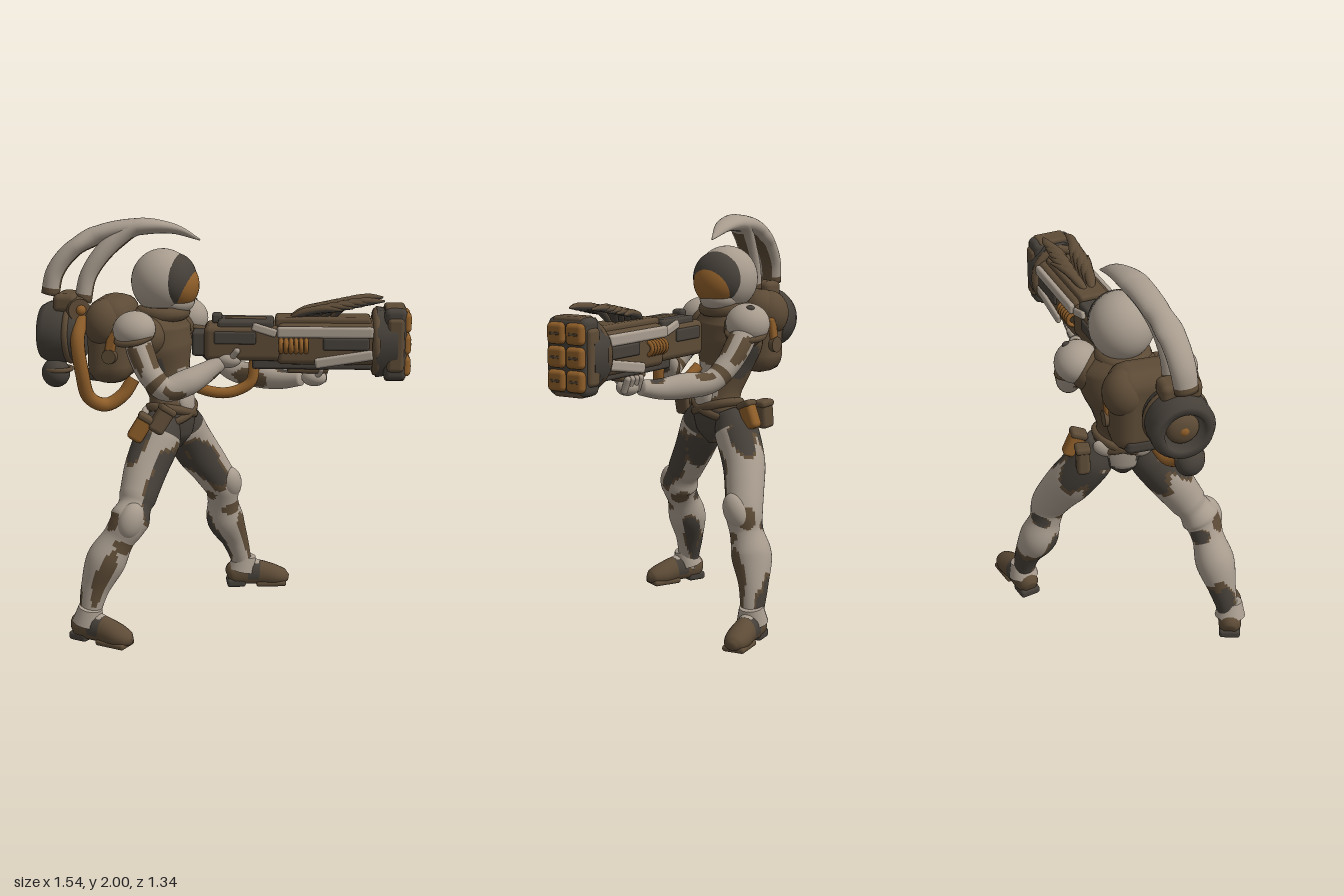
import * as THREE from 'three';
import { RoundedBoxGeometry } from 'three/addons/geometries/RoundedBoxGeometry.js';

const V = (x, y, z) => new THREE.Vector3(x, y, z);
const WHITE = 0, BROWN = 1, DARK = 2, ORANGE = 3;

export function createModel() {
  const mats = [['boneWhite', 0xa89c8e], ['earthBrown', 0x5d4b36], ['charcoal', 0x464039], ['rustOrange', 0x8f5e29]]
    .map(([name, color]) => Object.assign(new THREE.MeshStandardMaterial({ color }), { name }));
  const model = new THREE.Group();
  model.name = 'armouredGunner';

  const add = (parent, name, geo, mat, pos = [0, 0, 0], rot = [0, 0, 0], scale = [1, 1, 1]) => {
    const m = new THREE.Mesh(geo, typeof mat === 'number' ? mats[mat] : mat);
    m.name = name;
    m.position.set(...pos); m.rotation.set(...rot); m.scale.set(...scale);
    parent.add(m);
    return m;
  };
  const group = (name, pos, rot = [0, 0, 0], parent = model) => {
    const g = new THREE.Group();
    g.name = name; g.position.set(...pos); g.rotation.set(...rot);
    parent.add(g);
    return g;
  };
  const ball = new THREE.SphereGeometry(1, 32, 24);
  const blob = (parent, name, mat, pos, s, rot) => add(parent, name, ball, mat, pos, rot, s);
  const box = (parent, name, mat, pos, s, rot, r = 0.015) =>
    add(parent, name, new RoundedBoxGeometry(...s, 2, Math.min(r, Math.min(...s) * 0.45)), mat, pos, rot);

  // Sweep of elliptical sections [x, y, z, halfSide, halfFront]; pick(t, angle) chooses the colour
  function sweep(parent, name, pts, pick, front = [0, 0, 1], segs = 70, sides = 40, floor = -9) {
    const path = new THREE.CatmullRomCurve3(pts.map(p => V(p[0], p[1], p[2])));
    const size = new THREE.CatmullRomCurve3(pts.map(p => V(p[3], p[4], 0)));
    const F = V(...front), pos = [], bins = [[], [], [], []];
    for (let i = 0; i <= segs; i++) {
      const t = i / segs, c = path.getPoint(t), T = path.getTangent(t), s = size.getPoint(t);
      const N = F.clone().addScaledVector(T, -F.dot(T)).normalize(), S = T.clone().cross(N);
      for (let j = 0; j < sides; j++) {
        const a = j / sides * Math.PI * 2;
        const p = c.clone().addScaledVector(N, Math.cos(a) * s.y).addScaledVector(S, Math.sin(a) * s.x);
        pos.push(p.x, Math.max(p.y, floor), p.z);
      }
    }
    for (const p of [pts[0], pts.at(-1)]) pos.push(p[0], p[1], p[2]);
    const start = (segs + 1) * sides;
    for (let j = 0; j < sides; j++) {
      const k = (j + 1) % sides, e = segs * sides;
      for (let i = 0; i < segs; i++) {
        const a = i * sides + j, b = i * sides + k;
        bins[pick((i + 0.5) / segs, (j + 0.5) / sides)].push(a, b, a + sides, b, b + sides, a + sides);
      }
      bins[pick(0, 0)].push(start, k, j);
      bins[pick(1, 0)].push(start + 1, e + j, e + k);
    }
    const geo = new THREE.BufferGeometry();
    geo.setAttribute('position', new THREE.Float32BufferAttribute(pos, 3));
    geo.setIndex(bins.flat());
    let n = 0;
    bins.forEach((b, i) => { if (b.length) geo.addGroup(n, b.length, i); n += b.length; });
    geo.computeVertexNormals();
    return add(parent, name, geo, mats);
  }
  // Worn oval stains [t, angle, halfT, halfAngle, colour] with a brown edge, on a white ground
  const stained = spots => (t, a) => {
    let rim = WHITE;
    for (const [t0, a0, dt, da, mat] of spots) {
      const d = Math.abs(((a - a0 + 1.5) % 1) - 0.5);
      const v = ((t - t0) / dt) ** 2 + (d / da) ** 2 - 0.22 * Math.sin(a * 25 + t * 40);
      if (v < 1) return mat;
      if (v < 1.3) rim = BROWN;
    }
    return rim;
  };
  const tube = (parent, name, pts, r, mat) =>
    add(parent, name, new THREE.TubeGeometry(new THREE.CatmullRomCurve3(pts.map(p => V(...p))), 40, r, 12), mat);

  // Legs: outer is the angle of the outward side; m mirrors an angle given for the left leg
  const legPick = outer => {
    const m = a => outer > 0.5 ? a : 1 - a;
    const pick = stained([[0.27, m(0.06), 0.14, 0.11, DARK], [0.15, m(0.75), 0.08, 0.09, DARK], [0.12, 0.5, 0.09, 0.14, DARK],
      [0.16, m(0.25), 0.08, 0.12, DARK], [0.88, 0.5, 0.13, 0.22, DARK], [0.74, m(0.93), 0.12, 0.06, BROWN], [0.73, m(0.27), 0.11, 0.08, DARK],
      [0.48, m(0.75), 0.05, 0.07, BROWN], [0.46, m(0.25), 0.05, 0.08, BROWN], [0.53, 0.5, 0.04, 0.12, DARK], [0.57, 0, 0.025, 0.1, BROWN]]);
    return (t, a) => t < 0.09 ? DARK : pick(t, a);
  };
  sweep(model, 'rightLeg', [[-.2, 1.03, -.16, .08, .08], [-.26, .93, -.14, .115, .11], [-.35, .8, -.11, .108, .1],
    [-.43, .67, -.07, .09, .09], [-.495, .57, -.05, .09, .09], [-.535, .5, -.07, .078, .082], [-.59, .39, -.1, .096, .098],
    [-.645, .25, -.12, .068, .072], [-.675, .14, -.12, .052, .056], [-.685, .07, -.12, .05, .05]], legPick(0.25));
  sweep(model, 'leftLeg', [[-.05, 1.03, -.25, .08, .08], [0, .93, -.28, .11, .11], [.09, .8, -.3, .112, .105],
    [.18, .68, -.29, .1, .095], [.24, .58, -.28, .09, .09], [.255, .5, -.29, .078, .082], [.285, .39, -.31, .096, .098],
    [.35, .26, -.31, .068, .072], [.385, .14, -.3, .052, .056], [.39, .07, -.3, .05, .05]], legPick(0.75));
  for (const [side, knee, foot, yaw] of [['right', [-.505, .59, -.01], [-.68, 0, -.09], 0.42], ['left', [.262, .6, -.24], [.415, 0, -.285], 1.0]]) {
    blob(model, side + 'KneePad', WHITE, knee, [.07, .095, .06], [0.15, yaw * 0.5, side === 'left' ? 0.4 : -0.4]);
    // Boots
    const b = group(side + 'Boot', foot, [0, yaw, 0]);
    sweep(b, 'shoe', [[0, .05, -.105, .03, .035], [0, .06, -.08, .055, .065], [0, .07, -.02, .058, .08], [0, .065, .06, .058, .07],
      [0, .05, .14, .062, .058], [0, .04, .195, .048, .042], [0, .035, .22, .018, .018]],
      (t, a) => t > 0.38 && t < 0.5 && (a < 0.3 || a > 0.7) ? DARK : BROWN, [0, 1, 0], 24, 20, 0.015);
    box(b, 'heel', DARK, [0, .022, -.06], [.105, .044, .1]);
    box(b, 'sole', BROWN, [0, .015, .125], [.114, .03, .16]);
    add(b, 'ankleCuff', new THREE.CylinderGeometry(.058, .076, .08, 20, 1), WHITE, [0, .128, -.02], [0.2, 0, 0]);
    blob(b, 'instepPlate', WHITE, [0, .1, .045], [.043, .04, .06], [0.45, 0, 0]);
  }

  // Torso and pelvis
  const torsoStains = stained([[0.45, 0, 0.12, 0.12, WHITE], [0.2, 0.5, 0.1, 0.09, WHITE],
    [0.16, 0, 0.16, 0.2, DARK], [0.16, 0.25, 0.16, 0.2, DARK], [0.16, 0.75, 0.16, 0.2, DARK], [0.16, 0.5, 0.16, 0.2, DARK],
    [0.62, 0.25, 0.1, 0.1, DARK], [0.62, 0.75, 0.1, 0.1, DARK], [0.75, 0.5, 0.4, 0.25, BROWN], [0.75, 0, 0.35, 0.3, BROWN], [0.5, 0.25, 0.55, 0.25, BROWN], [0.5, 0.75, 0.55, 0.25, BROWN]]);
  sweep(model, 'torso', [[-.13, .87, -.2, .04, .05], [-.13, .94, -.2, .12, .1], [-.13, 1.04, -.2, .145, .11], [-.13, 1.13, -.21, .12, .1],
    [-.145, 1.25, -.24, .145, .125], [-.16, 1.38, -.26, .2, .15], [-.16, 1.48, -.26, .2, .14], [-.15, 1.56, -.25, .1, .1]], torsoStains, [.45, 0, .89]);
  const pelvis = group('belt', [-.13, 1.05, -.2], [0, 0.47, 0]);
  for (const s of [-1, 1]) {
    add(pelvis, 'beltStrap', new THREE.TorusGeometry(.135, .022, 8, 32), BROWN, [0, 0, 0], [Math.PI / 2, s * 0.3, 0], [1, .8, 1]);
    blob(pelvis, 'hipPlate', WHITE, [s * .09, -.01, -.085], [.055, .04, .025], [0, 0, s * 0.5]);
  }
  blob(pelvis, 'bellyPlate', WHITE, [0, .06, .08], [.068, .08, .035], [-.2, 0, 0]);
  // Belt pouches
  for (const [p, r, mat] of [[[-.3, 1.06, -.04], [0, -.3, -.6], BROWN], [[-.38, 1.02, -.1], [0, -.6, -.55], ORANGE],
    [[.06, 1.04, -.33], [0, .7, .4], ORANGE], [[-.03, 1.03, -.42], [0, 2.2, .1], BROWN]]) {
    const g = group('pouch', p, r);
    box(g, 'pouchBody', mat, [0, -.01, 0], [.08, .13, .065], undefined, .02);
    box(g, 'pouchFlap', BROWN, [0, .05, 0], [.086, .035, .074], undefined, .015);
  }

  // Helmet with oval visor
  add(model, 'collar', new THREE.TorusGeometry(.1, .035, 10, 32), BROWN, [-.15, 1.54, -.24], [Math.PI / 2, 0, 0]);
  const head = group('helmet', [-.145, 1.69, -.245], [0.05, 0.72, 0]);
  blob(head, 'shell', WHITE, [0, 0, 0], [.152, .16, .156]);
  blob(head, 'chinGuard', WHITE, [0, -.09, .06], [.1, .07, .1]);
  blob(head, 'visorShade', DARK, [0, .005, .062], [.14, .135, .105]);
  blob(head, 'visorGlass', ORANGE, [0, -.014, .08], [.122, .115, .1]);

  // Shoulders and arms
  const armStains = stained([[0.22, 0.5, 0.12, 0.14, DARK], [0.88, 0.2, 0.07, 0.12, DARK], [0.22, 0, 0.09, 0.08, BROWN], [0.2, 0.25, 0.1, 0.06, BROWN],
    [0.65, 0.5, 0.1, 0.12, BROWN], [0.55, 0.1, 0.06, 0.07, BROWN]]);
  const armPick = (t, a) => t > 0.37 && t < 0.45 ? BROWN : armStains(t, a);
  blob(model, 'rightShoulderJoint', BROWN, [-.3, 1.44, -.18], [.1, .1, .1]);
  blob(model, 'leftShoulderJoint', BROWN, [-.02, 1.45, -.31], [.1, .1, .1]);
  blob(model, 'rightPauldron', WHITE, [-.38, 1.49, -.15], [.1, .085, .105], [0, .4, .35]);
  blob(model, 'leftPauldron', WHITE, [.05, 1.485, -.32], [.105, .098, .11], [0, .4, -.4]);
  blob(model, 'pauldronScuff', DARK, [.095, 1.563, -.325], [.022, .016, .022]);
  add(model, 'rightPauldronRim', new THREE.TorusGeometry(.085, .015, 8, 28), BROWN, [-.385, 1.45, -.145], [Math.PI / 2, .25, 0]);
  add(model, 'leftPauldronRim', new THREE.TorusGeometry(.09, .015, 8, 28), BROWN, [.06, 1.44, -.31], [Math.PI / 2, -.3, 0]);
  sweep(model, 'rightArm', [[-.375, 1.48, -.15, .06, .06], [-.375, 1.38, -.1, .066, .066], [-.365, 1.28, -.03, .058, .06],
    [-.32, 1.22, .02, .058, .058], [-.22, 1.24, .045, .064, .066], [-.11, 1.285, .065, .05, .052], [-.04, 1.325, .08, .036, .04]], armPick, [.3, .2, .9], 50, 28);
  sweep(model, 'leftArm', [[.06, 1.48, -.32, .06, .06], [.11, 1.39, -.27, .066, .068], [.16, 1.29, -.2, .058, .06],
    [.2, 1.225, -.12, .055, .055], [.25, 1.215, .01, .062, .058], [.3, 1.21, .13, .05, .046], [.345, 1.225, .23, .036, .036]], armPick, [.85, .2, -.4], 50, 28);
  // Hands with curled fingers
  const hand = (name, pos, rot) => {
    const g = group(name, pos, rot);
    blob(g, 'palm', WHITE, [0, 0, 0], [.048, .042, .062]);
    for (let i = 0; i < 4; i++)
      add(g, 'finger', new THREE.CapsuleGeometry(.016, .06, 4, 10), WHITE, [.032, .015, -.04 + i * .028], [0, 0, -.4]);
    add(g, 'thumb', new THREE.CapsuleGeometry(.016, .05, 4, 10), WHITE, [-.035, .03, .03], [.6, 0, .4]);
  };
  hand('rightHand', [-.005, 1.34, .1], [0, .88, 0]);
  hand('leftHand', [.375, 1.235, .29], [0, .7, 0]);

  // Heavy gun, local +z towards the muzzle
  const gun = group('heavyGun', [-.05, 1.42, -.03], [0, 0.883, 0]);
  box(gun, 'receiver', BROWN, [0, 0, .19], [.21, .17, .38], undefined, .03);
  box(gun, 'topCover', DARK, [0, .085, .2], [.18, .05, .27]);
  box(gun, 'coverRidge', BROWN, [0, .105, .2], [.05, .02, .2]);
  box(gun, 'rearSight', DARK, [0, .11, .06], [.06, .05, .05]);
  box(gun, 'stock', DARK, [0, -.01, -.01], [.12, .12, .1]);
  box(gun, 'barrelHousing', BROWN, [0, 0, .6], [.22, .2, .5], undefined, .03);
  box(gun, 'topRail', BROWN, [0, .1, .57], [.15, .05, .46]);
  box(gun, 'underBarrel', DARK, [0, -.1, .52], [.13, .06, .58]);
  box(gun, 'foreGrip', BROWN, [0, -.13, .5], [.08, .05, .2]);
  for (const s of [-1, 1]) {
    box(gun, 'upperSidePanel', WHITE, [s * .115, .062, .58], [.03, .055, .46]);
    box(gun, 'lowerSidePanel', WHITE, [s * .113, -.068, .67], [.028, .05, .28], [-.16, 0, 0]);
    box(gun, 'sideTrim', DARK, [s * .112, .005, .68], [.024, .06, .22]);
    box(gun, 'receiverPlate', DARK, [s * .105, .03, .15], [.02, .06, .2]);
    box(gun, 'receiverVent', WHITE, [s * .105, .07, .29], [.024, .04, .12], [.3, 0, 0]);
    for (let i = 0; i < 6; i++)
      add(gun, 'coilRing', new THREE.TorusGeometry(.03, .011, 8, 16), ORANGE, [s * .102, -.005, .37 + i * .024]);
    // Swept blades along the top
    for (let i = 0; i < 5; i++) {
      const z = .4 + i * .05, e = .66 + i * .05, h = .155 + i * .01;
      sweep(gun, 'blade', [[s * .012, .1, z, .01, .012], [s * .035, h - .01, z + .08, .026, .02], [s * .065, h + .01, (z + e) / 2 + .06, .024, .018],
        [s * (.1 - i * .01), h + .01, e, .005, .005]], (t, a) => a > 0.25 && a < 0.75 ? DARK : BROWN, [0, 1, 0], 12, 8);
    }
  }
  // Muzzle block: flared casing, with two columns of three barrels set in its front
  const flare = new THREE.CylinderGeometry(.14, .155, .1, 8).rotateY(Math.PI / 8);
  add(gun, 'muzzleFlare', flare, DARK, [0, 0, .875], [Math.PI / 2, 0, 0], [.96, 1, 1.15]);
  add(gun, 'muzzleRing', new THREE.TorusGeometry(.125, .02, 8, 32), BROWN, [0, 0, .825], [0, 0, 0], [1, 1.15, 1]);
  box(gun, 'muzzleCasing', DARK, [0, 0, .915], [.215, .35, .11], undefined, .03);
  for (const s of [-1, 1]) {
    box(gun, 'casingRib', BROWN, [s * .1, 0, .915], [.045, .26, .08], undefined, .02);
    box(gun, 'casingCap', BROWN, [0, s * .16, .915], [.16, .04, .1], undefined, .015);
    for (let i = -1; i <= 1; i++) {
      box(gun, 'barrel', ORANGE, [s * .051, i * .105, .965], [.096, .098, .05], undefined, .022);
      box(gun, 'barrelMouth', BROWN, [s * .051, i * .105, .989], [.05, .012, .006]);
    }
  }

  // Backpack
  const pack = group('backpack', [-.34, 1.41, -.39], [0, 0.75, 0]);
  box(pack, 'packBody', BROWN, [0, 0, 0], [.35, .42, .22], undefined, .09);
  box(pack, 'packBase', DARK, [0, -.16, -.03], [.25, .08, .16], undefined, .03);
  for (const s of [-1, 1]) {
    blob(pack, 'sideTank', BROWN, [s * .11, .09, -.02], [.1, .115, .1]);
    add(pack, 'valve', new THREE.CylinderGeometry(.035, .04, .04, 16), BROWN, [s * .175, -.06, .02], [0, 0, Math.PI / 2]);
    box(pack, 'sideStrip', ORANGE, [s * .175, .01, .03], [.03, .14, .05], [.2, 0, 0]);
  }
  // Rear thruster drum
  const drum = group('thruster', [-.56, 1.445, -.515], [0, 0.75 + Math.PI, 0]);
  add(drum, 'drumBody', new THREE.LatheGeometry([[0, -.13], [.1, -.13], [.138, -.1], [.15, -.02], [.15, .06], [.13, .095], [.095, .095], [.085, .05], [0, .05]]
    .map(p => new THREE.Vector2(...p)), 32), DARK, [0, 0, 0], [Math.PI / 2, 0, 0]);
  add(drum, 'drumBand', new THREE.TorusGeometry(.137, .018, 8, 32), BROWN, [0, 0, -.05]);
  blob(drum, 'drumHub', BROWN, [0, 0, .05], [.075, .075, .035]);
  blob(drum, 'drumCore', ORANGE, [0, 0, .065], [.03, .03, .025]);
  blob(model, 'lowerTank', DARK, [-.61, 1.25, -.5], [.067, .072, .075]);
  add(model, 'lowerTankRing', new THREE.TorusGeometry(.062, .012, 8, 24), BROWN, [-.6, 1.27, -.49], [Math.PI / 2, 0, 0]);
  add(model, 'hoseSocket', new THREE.CylinderGeometry(.055, .065, .08, 16), BROWN, [-.54, 1.57, -.4], [Math.PI / 2, 0, .3]);
  blob(model, 'socketLight', ORANGE, [-.545, 1.57, -.36], [.025, .025, .02]);

  // Hoses
  tube(model, 'packHose', [[-.53, 1.53, -.38], [-.58, 1.43, -.34], [-.565, 1.27, -.33], [-.52, 1.14, -.34], [-.43, 1.095, -.33], [-.35, 1.14, -.3], [-.3, 1.22, -.28]], .034, ORANGE);
  tube(model, 'gunHose', [[-.14, 1.25, -.1], [-.09, 1.19, -.03], [0, 1.165, .05], [.07, 1.18, .09], [.12, 1.22, .12], [.14, 1.32, .12]], .027, ORANGE);

  // Forked crest arching over the helmet
  const crestTip = [[-.25, 1.955, -.315, .065, .042], [-.1, 1.945, -.22, .042, .025], [.01, 1.89, -.15, .004, .004]];
  const crestPick = (t, a) => t < 0.05 || (t < 0.6 && a > 0.42 && a < 0.58) ? BROWN : WHITE;
  sweep(model, 'outerCrest', [[-.605, 1.63, -.545, .055, .045], [-.58, 1.74, -.535, .06, .045], [-.51, 1.845, -.49, .062, .044], [-.395, 1.92, -.42, .062, .044], ...crestTip],
    crestPick, [-.6, .6, -.5], 40, 24);
  sweep(model, 'innerCrest', [[-.49, 1.6, -.43, .05, .042], [-.465, 1.72, -.42, .048, .042], [-.41, 1.82, -.39, .05, .044], [-.335, 1.9, -.355, .055, .046], ...crestTip],
    crestPick, [-.6, .6, -.5], 40, 24);
  box(model, 'crestMount', BROWN, [-.54, 1.6, -.48], [.19, .09, .12], [0, .75, 0], .03);

  return model;
}
